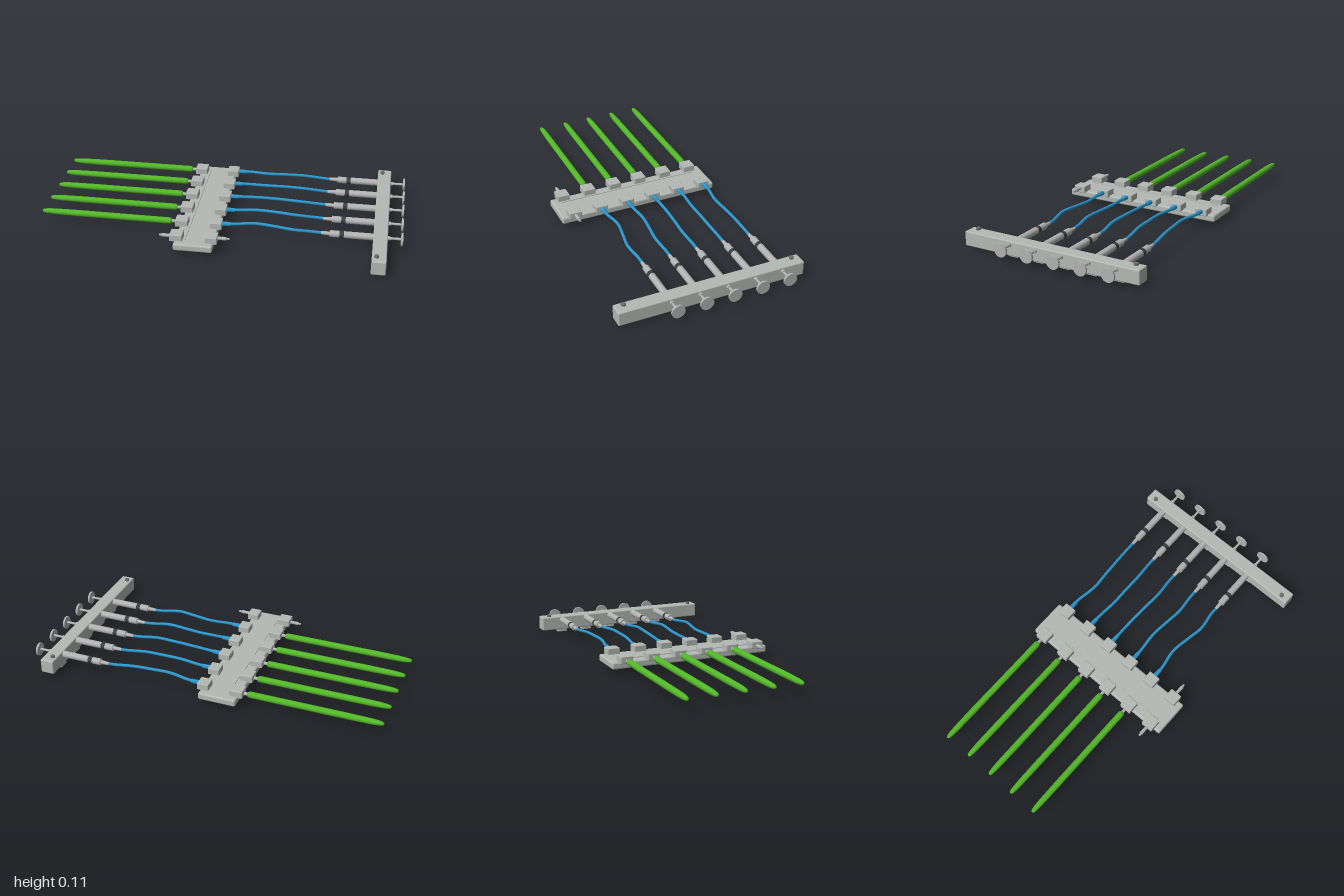
import * as THREE from 'three';
import { RoundedBoxGeometry } from 'three/addons/geometries/RoundedBoxGeometry.js';

const mat = (name, color) => Object.assign(new THREE.MeshStandardMaterial({ color }), { name });

export function createModel() {
  const model = new THREE.Group();
  const grey = mat('light grey', 0xb4bab5);
  const metal = mat('metal grey', 0xb2b2b2);
  const dark = mat('dark rubber', 0x3c3e3f);
  const screwGrey = mat('screw grey', 0x6c6f70);
  const green = mat('green', 0x52b728);
  const blue = mat('blue', 0x2a95cb);

  const AXIS_Y = 0.076;
  const lanes = [0, 1, 2, 3, 4, 5].map(i => -0.394 + i * 0.1576);

  function add(name, geometry, material, x = 0, y = 0, z = 0, parent = model) {
    const mesh = new THREE.Mesh(geometry, material);
    mesh.name = name;
    mesh.position.set(x, y, z);
    parent.add(mesh);
    return mesh;
  }
  // Box given by its limits on each axis
  function box(name, material, [x0, x1], [y0, y1], [z0, z1], round = 0.005, parent = model) {
    return add(name, new RoundedBoxGeometry(x1 - x0, y1 - y0, z1 - z0, 2, round), material,
      (x0 + x1) / 2, (y0 + y1) / 2, (z0 + z1) / 2, parent);
  }
  // Cylinder along x
  function rod(name, material, x0, x1, r0, r1, y, z, parent = model) {
    const g = new THREE.CylinderGeometry(r1, r0, x1 - x0, 28).rotateZ(-Math.PI / 2);
    return add(name, g, material, (x0 + x1) / 2, y, z, parent);
  }

  // Manifold: plate, seam and two rows of port blocks
  box('manifoldPlate', grey, [-0.213, 0], [0.026, 0.066], [-0.468, 0.465], 0.01);
  box('manifoldSeam', grey, [-0.158, -0.153], [0.06, 0.07], [-0.41, 0.41], 0.001);
  lanes.forEach(z => {
    box('leftPortBlock', grey, [-0.238, -0.168], [0.06, 0.1], [z - 0.035, z + 0.035], 0.004);
    box('rightPortBlock', grey, [-0.045, 0.02], [0.06, 0.1], [z - 0.035, z + 0.035], 0.004);
    rod('leftNipple', metal, -0.265, -0.235, 0.009, 0.009, AXIS_Y, z);
    rod('rightNipple', metal, 0.015, 0.045, 0.009, 0.009, 0.084, z);
  });
  // Open ports on the last pair of blocks
  const zOpen = lanes[5];
  rod('openLeftNipple', metal, -0.3, -0.255, 0.006, 0.006, AXIS_Y, zOpen);
  rod('openLeftCollar', metal, -0.285, -0.262, 0.01, 0.01, AXIS_Y, zOpen);
  rod('openRightNipple', metal, 0.035, 0.085, 0.006, 0.006, 0.084, zOpen);
  rod('openRightCollar', metal, 0.045, 0.068, 0.01, 0.01, 0.084, zOpen);

  // Long soft fingers, turned about x
  const fingerProfile = [[0, -1], [0.007, -0.998], [0.011, -0.99], [0.014, -0.97], [0.0165, -0.93],
    [0.018, -0.8], [0.018, -0.275], [0.016, -0.264], [0.012, -0.26], [0, -0.26]]
    .map(([r, x]) => new THREE.Vector2(r, x));
  const fingerGeometry = new THREE.LatheGeometry(fingerProfile, 28).rotateZ(-Math.PI / 2);

  // Sideways bend of each hose at one third and two thirds of its length
  const bends = [[0.019, 0.008], [0.01, 0.009], [0.002, 0.011], [-0.008, 0.012], [-0.016, 0.016]];

  bends.forEach(([b1, b2], i) => {
    const z = lanes[i];
    add('finger', fingerGeometry, green, 0, AXIS_Y, z);

    // Hose
    const path = new THREE.CatmullRomCurve3([
      [0.02, 0.084, 0], [0.08, 0.086, 0], [0.2, 0.091, b1], [0.31, 0.092, (b1 + b2) / 2],
      [0.41, 0.09, b2], [0.52, 0.079, 0.001], [0.57, AXIS_Y, 0],
    ].map(([x, y, dz]) => new THREE.Vector3(x, y, z + dz)));
    add('hose', new THREE.TubeGeometry(path, 48, 0.0085, 12), blue);
    rod('hoseCuff', blue, 0.02, 0.065, 0.0125, 0.0115, 0.084, z);

    // Syringe: nozzle, barrel, seal, plunger
    const syringe = new THREE.Group();
    syringe.name = 'syringe';
    model.add(syringe);
    rod('nozzle', metal, 0.56, 0.615, 0.009, 0.012, AXIS_Y, z, syringe);
    rod('barrelTip', metal, 0.608, 0.66, 0.019, 0.019, AXIS_Y, z, syringe);
    rod('seal', dark, 0.66, 0.684, 0.0195, 0.0195, AXIS_Y, z, syringe);
    rod('barrel', metal, 0.684, 0.86, 0.019, 0.019, AXIS_Y, z, syringe);
    rod('barrelEnd', metal, 0.9, 0.932, 0.011, 0.011, AXIS_Y, z, syringe);
    rod('plungerRod', metal, 0.92, 0.99, 0.007, 0.007, AXIS_Y, z, syringe);
    rod('plungerDisc', metal, 0.989, 1, 0.037, 0.037, 0.074, z, syringe);
    // Clip below the holding bar
    box('barClip', grey, [0.845, 0.895], [0, 0.05], [z - 0.03, z + 0.03], 0.004);
  });

  // Holding bar with two screws
  box('holdingBar', grey, [0.841, 0.919], [0.016, 0.097], [-0.522, 0.522], 0.007);
  [-0.474, 0.474].forEach(z =>
    add('barScrew', new THREE.CylinderGeometry(0.0125, 0.0125, 0.03, 20), screwGrey, 0.866, 0.093, z));

  return model;
}
